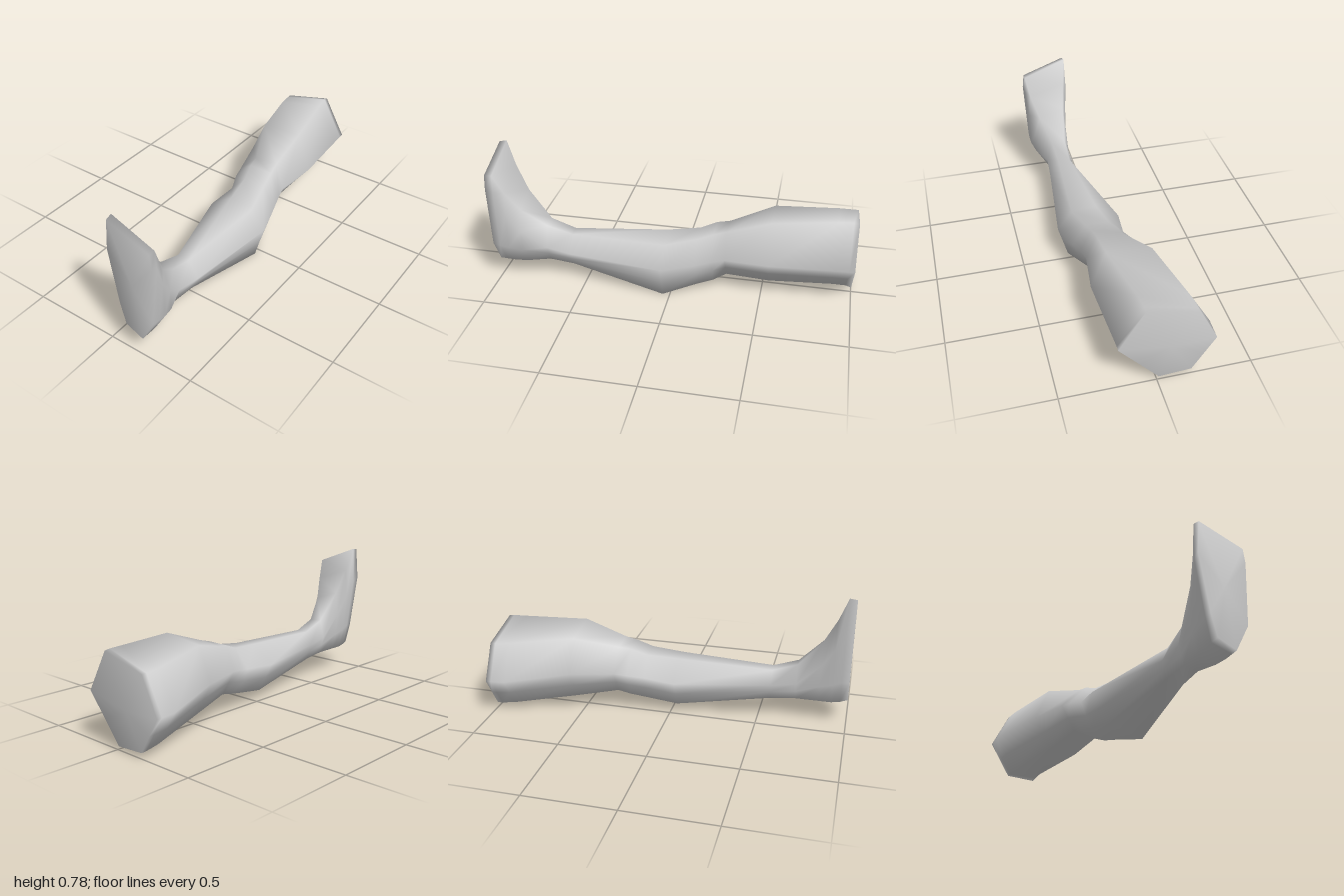
import * as THREE from 'three';

// Cross-sections from thigh to foot: x, then [z, y] corners starting at the top front.
// Six-sided leg sections gain a midpoint on both lower sides to match the eight-sided foot.
const LEG = [
  [1.00, [.07, .490], [-.20, .425], [-.30, .23], [-.18, .035], [-.01, .024], [.20, .265]],
  [0.97, [.07, .495], [-.20, .425], [-.30, .23], [-.18, .037], [-.01, .036], [.20, .265]],
  [0.89, [.08, .494], [-.19, .430], [-.30, .235], [-.17, .045], [.00, .043], [.205, .265]],
  [0.54, [.145, .484], [-.10, .458], [-.18, .27], [-.08, .09], [.08, .073], [.225, .262]],
  [0.30, [.14, .400], [.00, .39], [-.11, .27], [-.03, .13], [.10, .10], [.195, .25]],
  [0.23, [.15, .380], [.01, .38], [-.095, .26], [-.02, .11], [.13, .07], [.21, .24]],
  [0.14, [.16, .345], [.03, .345], [-.06, .24], [.00, .09], [.16, .05], [.235, .22]],
  [-.04, [.20, .31], [.06, .328], [-.075, .23], [.02, .06], [.23, .005], [.283, .195]],
  [-.57, [.17, .30], [.10, .30], [.065, .22], [.09, .13], [.18, .11], [.225, .20]],
  [-.71, [.18, .345], [.10, .35], [.075, .24], [.10, .14], [.18, .125], [.215, .22]],
];
const FOOT = [
  [-.84, [.23, .46], [.08, .51], [.065, .37], [.075, .24], [.10, .14], [.20, .11], [.265, .22], [.265, .34]],
  [-.91, [.27, .58], [.06, .65], [.05, .48], [.07, .26], [.10, .14], [.21, .112], [.285, .24], [.285, .45]],
  [-.96, [.29, .69], [.04, .787], [.033, .58], [.075, .28], [.10, .15], [.21, .114], [.287, .25], [.297, .59]],
  [-1.0, [.292, .69], [.045, .78], [.03, .60], [.08, .28], [.11, .16], [.21, .116], [.285, .26], [.302, .61]],
];

const mid = (p, q) => [(p[0] + q[0]) / 2, (p[1] + q[1]) / 2];

export function createModel() {
  const rings = [
    ...LEG.map(([x, a, b, c, d, e, f]) => [x, a, b, c, mid(c, d), d, e, mid(e, f), f]),
    ...FOOT,
  ];
  const n = 8, position = [], index = [];
  for (const [x, ...corners] of rings) for (const [z, y] of corners) position.push(x, y, z);

  // Skin between neighbouring sections
  for (let i = 0; i < rings.length - 1; i++) {
    for (let j = 0; j < n; j++) {
      const a = i * n + j, b = i * n + (j + 1) % n;
      index.push(a, b, a + n, b, b + n, a + n);
    }
  }

  // Thigh end and sole, sharing their rim for soft shading
  for (const [r, first] of [[0, true], [rings.length - 1, false]]) {
    const [x, ...corners] = rings[r];
    const centre = position.length / 3;
    const z = corners.reduce((s, p) => s + p[0], 0) / n;
    const y = corners.reduce((s, p) => s + p[1], 0) / n;
    position.push(x, y, z);
    for (let j = 0; j < n; j++) {
      const a = r * n + j, b = r * n + (j + 1) % n;
      index.push(centre, first ? b : a, first ? a : b);
    }
  }

  const geometry = new THREE.BufferGeometry();
  geometry.setAttribute('position', new THREE.Float32BufferAttribute(position, 3));
  geometry.setIndex(index);
  geometry.computeVertexNormals();

  const skin = new THREE.MeshStandardMaterial({ color: 0xcccccc });
  skin.name = 'light grey';
  const leg = new THREE.Mesh(geometry, skin);
  leg.name = 'legAndFoot';

  const model = new THREE.Group();
  model.name = 'leg';
  model.add(leg);
  return model;
}
